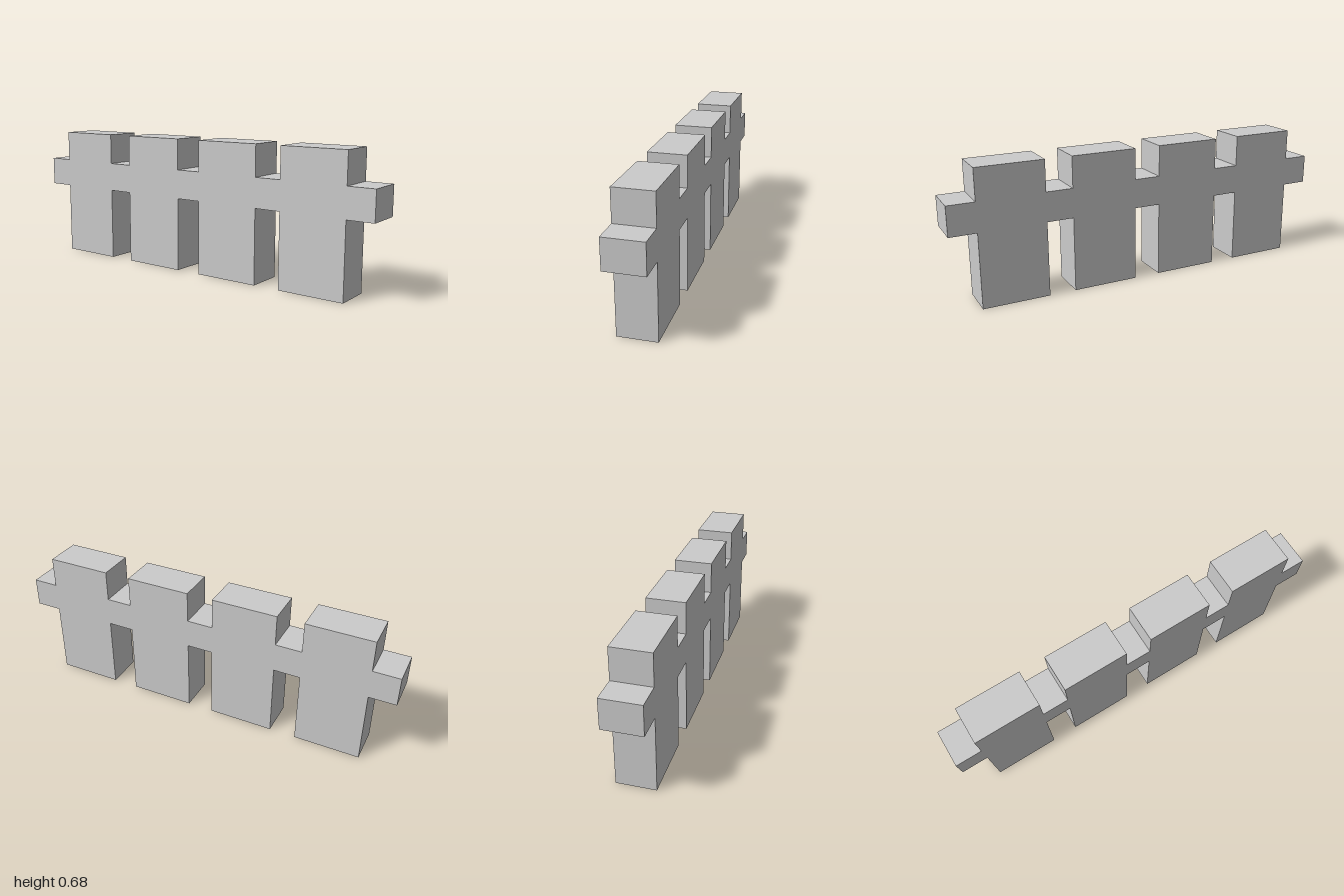
import * as THREE from 'three';

const COUNT = 4, GAP = 2 / 15, WIDTH = 1 / 3;        // pickets and the rail stretches between them
const TOP = 0.681, RAIL_LOW = 0.376, RAIL_HIGH = 0.524, DEPTH = 0.19;

// Points of one long edge of the fence, left to right: rail height, stepping out to each picket end
function steppedEdge(railY, picketY) {
  const points = [new THREE.Vector2(-1, railY)];
  for (let i = 0; i < COUNT; i++) {
    const x0 = -1 + GAP + i * (WIDTH + GAP), x1 = x0 + WIDTH;
    points.push(
      new THREE.Vector2(x0, railY), new THREE.Vector2(x0, picketY),
      new THREE.Vector2(x1, picketY), new THREE.Vector2(x1, railY)
    );
  }
  points.push(new THREE.Vector2(1, railY));
  return points;
}

export function createModel() {
  const group = new THREE.Group();
  group.name = 'fence';

  // Pickets and rail are flush, so they form one solid extruded outline
  const outline = new THREE.Shape([
    ...steppedEdge(RAIL_LOW, 0),
    ...steppedEdge(RAIL_HIGH, TOP).reverse()
  ]);
  const geometry = new THREE.ExtrudeGeometry(outline, { depth: DEPTH, bevelEnabled: false });
  geometry.translate(0, 0, -DEPTH / 2);

  const panel = new THREE.Mesh(geometry, new THREE.MeshStandardMaterial({ color: 0xcccccc, flatShading: true }));
  panel.name = 'picketsAndRail';
  group.add(panel);
  return group;
}
